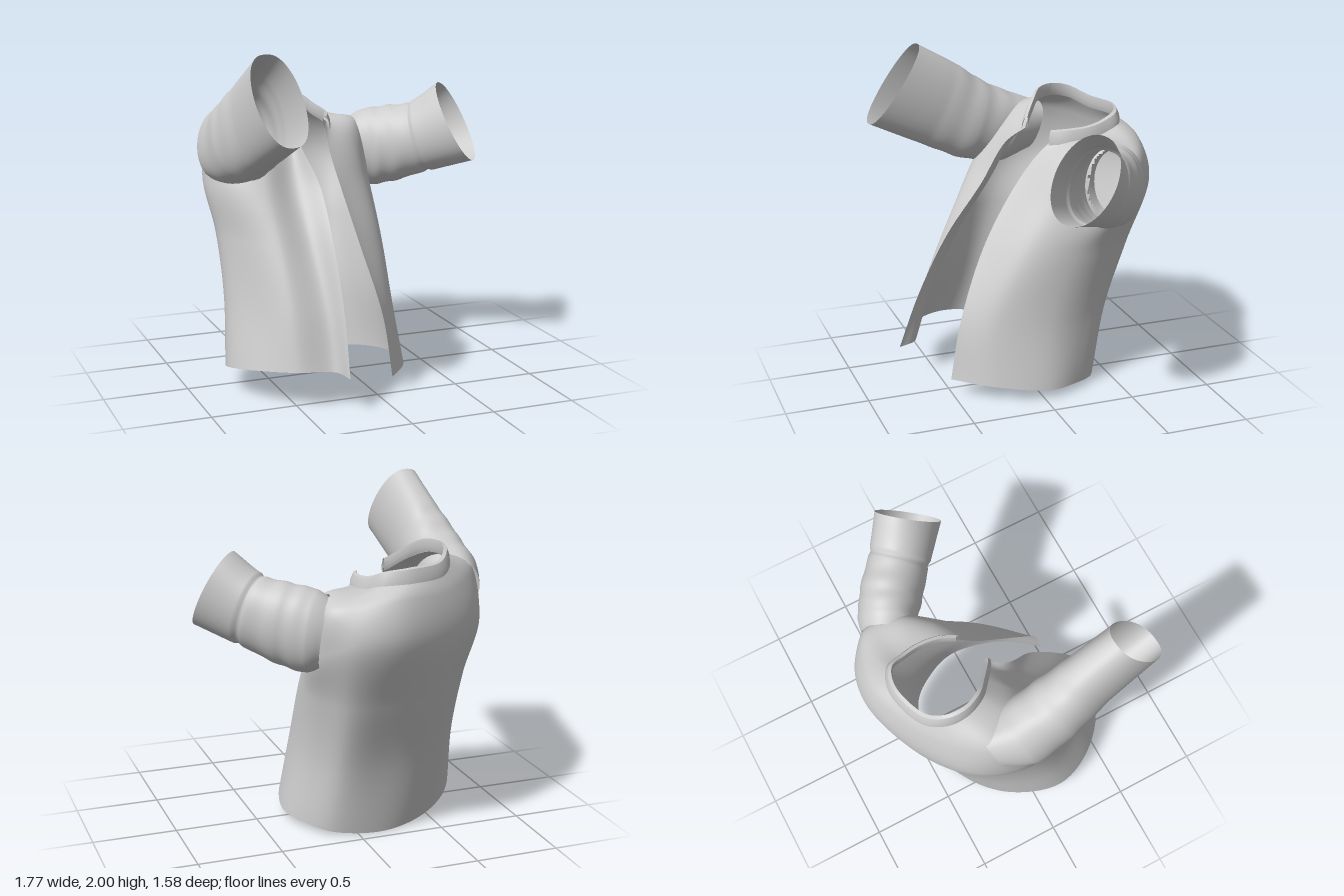
import * as THREE from 'three';
import { toCreasedNormals } from 'three/addons/utils/BufferGeometryUtils.js';

const V = (a) => new THREE.Vector3(...a);
const cloth = new THREE.MeshStandardMaterial({ color: 0xcccccc, side: THREE.DoubleSide });

// Vertical guide lines, hem to neckline, from the right front edge round the back
const rightGuides = [
  [[-.26, .2, .73], [-.245, .55, .6], [-.24, .9, .42], [-.24, 1.2, .2], [-.3, 1.43, .02], [-.27, 1.52, -.1]],
  [[-.3, .21, .62], [-.31, .55, .5], [-.34, .9, .31], [-.36, 1.2, .1], [-.33, 1.43, -.03], [-.29, 1.53, -.11]],
  [[-.52, .22, .57], [-.52, .55, .47], [-.53, .9, .32], [-.55, 1.25, .13], [-.47, 1.5, -.05], [-.38, 1.6, -.18]],
  [[-.72, .2, .38], [-.685, .55, .27], [-.7, .9, .16], [-.74, 1.22, .06], [-.66, 1.53, -.1], [-.46, 1.65, -.25]],
  [[-.8, .16, .15], [-.77, .55, .05], [-.78, .9, -.05], [-.82, 1.2, -.15], [-.76, 1.53, -.25], [-.51, 1.66, -.36]],
  [[-.68, .09, -.15], [-.67, .5, -.23], [-.69, .9, -.34], [-.74, 1.25, -.43], [-.67, 1.52, -.43], [-.5, 1.64, -.47]],
  [[-.44, .03, -.35], [-.45, .45, -.45], [-.45, .85, -.57], [-.45, 1.25, -.66], [-.44, 1.48, -.62], [-.42, 1.59, -.57]],
];
const leftGuides = [
  [[-.15, 0, -.43], [-.13, .45, -.505], [-.1, .85, -.64], [-.1, 1.27, -.785], [-.12, 1.49, -.735], [-.2, 1.58, -.64]],
  [[.15, .02, -.38], [.12, .45, -.47], [.13, .85, -.6], [.15, 1.25, -.735], [.13, 1.44, -.69], [-.07, 1.56, -.6]],
  [[.28, .04, -.22], [.22, .45, -.31], [.235, .85, -.43], [.28, 1.17, -.57], [.25, 1.44, -.6], [-.03, 1.52, -.5]],
  [[.34, .05, -.03], [.27, .45, -.08], [.265, .85, -.22], [.29, 1.1, -.37], [.23, 1.47, -.42], [-.01, 1.5, -.4]],
  [[.26, .085, .28], [.2, .45, .25], [.19, .85, .07], [.17, 1.15, -.11], [.12, 1.43, -.25], [-.02, 1.49, -.28]],
  [[.09, .1, .51], [.06, .45, .435], [-.02, .85, .27], [-.065, 1.15, .09], [-.08, 1.36, -.07], [-.06, 1.48, -.18]],
];

// Sleeve stations from the armhole to the opening: top point, bottom point, half width
const rightSleeve = [
  [[-.63, 1.56, -.34], [-.73, 1.28, -.26], [.12]],
  [[-.65, 1.62, -.19], [-.74, 1.21, -.06], [.18]],
  [[-.68, 1.73, .03], [-.67, 1.26, .2], [.18]],
  [[-.66, 1.86, .22], [-.64, 1.38, .46], [.15]],
  [[-.65, 2, .46], [-.6, 1.54, .79], [.14]],
];
const leftSleeve = [
  [[.2, 1.47, -.5], [.26, 1.08, -.49], [.14]],
  [[.27, 1.52, -.46], [.32, 1.05, -.45], [.17]],
  [[.41, 1.55, -.4], [.43, 1.08, -.32], [.18]],
  [[.56, 1.58, -.3], [.6, 1.17, -.14], [.17]],
  [[.7, 1.7, -.2], [.8, 1.26, .06], [.175]],
];

// Surface through a grid of points; keep() may leave cells out
function surface(rows, closed = false, keep = () => true) {
  const n = rows[0].length, index = [];
  for (let i = 0; i < rows.length - 1; i++) {
    for (let j = 0; j < (closed ? n : n - 1); j++) {
      const k = (j + 1) % n;
      const a = i * n + j, b = i * n + k, c = a + n, d = b + n;
      if (keep(rows[i][j].clone().add(rows[i + 1][k]).multiplyScalar(.5))) index.push(a, b, d, a, d, c);
    }
  }
  const g = new THREE.BufferGeometry().setFromPoints(rows.flat());
  g.setIndex(index);
  g.computeVertexNormals();
  return g;
}

// Sleeve frame at t: centre, half height, half width direction, axis
function sleeveFrames(stations) {
  const top = new THREE.CatmullRomCurve3(stations.map((s) => V(s[0])));
  const bottom = new THREE.CatmullRomCurve3(stations.map((s) => V(s[1])));
  const mid = (t) => top.getPoint(t).add(bottom.getPoint(t)).multiplyScalar(.5);
  return (t) => {
    const s = t * (stations.length - 1), i = Math.min(Math.floor(s), stations.length - 2);
    const width = THREE.MathUtils.lerp(stations[i][2][0], stations[i + 1][2][0], s - i);
    const up = top.getPoint(t).sub(bottom.getPoint(t)).multiplyScalar(.5);
    const axis = mid(Math.min(1, t + .05)).sub(mid(Math.max(0, t - .05))).normalize();
    const side = up.clone().cross(axis).normalize();
    return { centre: mid(t), up, side, axis, width };
  };
}

// Sleeve tube with soft wrinkles; squareness below 1 boxes the section, cuffAt places the cuff seam
function sleeveGeometry(frame, squareness, cuffAt) {
  const rows = [], steps = 70, sides = 56;
  for (let i = 0; i <= steps; i++) {
    const t = i / steps, f = frame(t), row = [];
    const pinch = -.04 * Math.exp(-(((t - cuffAt + .015) / .015) ** 2));
    const flare = t > cuffAt ? .02 : 0;
    const wrinkle = t > .2 && t < .8 ? .012 * Math.sin(Math.PI * (t - .2) / .6) : 0;
    for (let j = 0; j < sides; j++) {
      const a = (j / sides) * Math.PI * 2, s = Math.sin(a);
      const r = 1 + wrinkle * Math.sin(t * 36 + 2 * s + Math.cos(2 * a)) + pinch + flare;
      row.push(f.centre.clone()
        .addScaledVector(f.up, Math.cos(a) * r)
        .addScaledVector(f.side, Math.sign(s) * Math.abs(s) ** squareness * f.width * r));
    }
    rows.push(row);
  }
  return surface(rows, true);
}

// True where a point lies within the armhole of a sleeve
function inArmhole(p, frame) {
  const f = frame(.25), d = p.clone().sub(f.centre);
  const u = d.dot(f.up) / f.up.lengthSq(), w = d.dot(f.side) / f.width;
  const along = d.dot(f.axis);
  return u * u + w * w < .85 && along > -.06 && along < .3;
}

export function createModel() {
  const group = new THREE.Group();
  const add = (name, geometry) => {
    const mesh = new THREE.Mesh(geometry, cloth);
    mesh.name = name;
    group.add(mesh);
  };
  const rightFrame = sleeveFrames(rightSleeve), leftFrame = sleeveFrames(leftSleeve);

  // Body: open front, hem to neckline, with armholes left out
  const guides = [...rightGuides, ...leftGuides].map((g) => new THREE.CatmullRomCurve3(g.map(V)));
  const body = [];
  for (let i = 0; i <= 110; i++) {
    const ring = new THREE.CatmullRomCurve3(guides.map((g) => g.getPoint(i / 110)));
    body.push(Array.from({ length: 193 }, (_, j) => ring.getPoint(j / 192)));
  }
  add('body', surface(body, false, (p) => !inArmhole(p, rightFrame) && !inArmhole(p, leftFrame)));

  // Sleeves: the left one has a turned cuff
  add('rightSleeve', sleeveGeometry(rightFrame, .8, 2));
  add('leftSleeve', sleeveGeometry(leftFrame, .95, .76));

  // Collar: a folded band along the neckline; profile is [outward, up]
  const neck = body[body.length - 1], centre = V([-.27, 0, -.37]);
  const profile = [[.026, -.02], [.022, .02], [.006, .058], [-.014, .064], [-.018, .02], [-.006, -.015]];
  const collar = profile.map(([out, up]) => neck.map((p) => {
    const dir = p.clone().sub(centre).setY(0).normalize();
    return p.clone().addScaledVector(dir, out).add(V([0, up, 0]));
  }));
  add('collar', toCreasedNormals(surface(collar), .7));

  return group;
}
